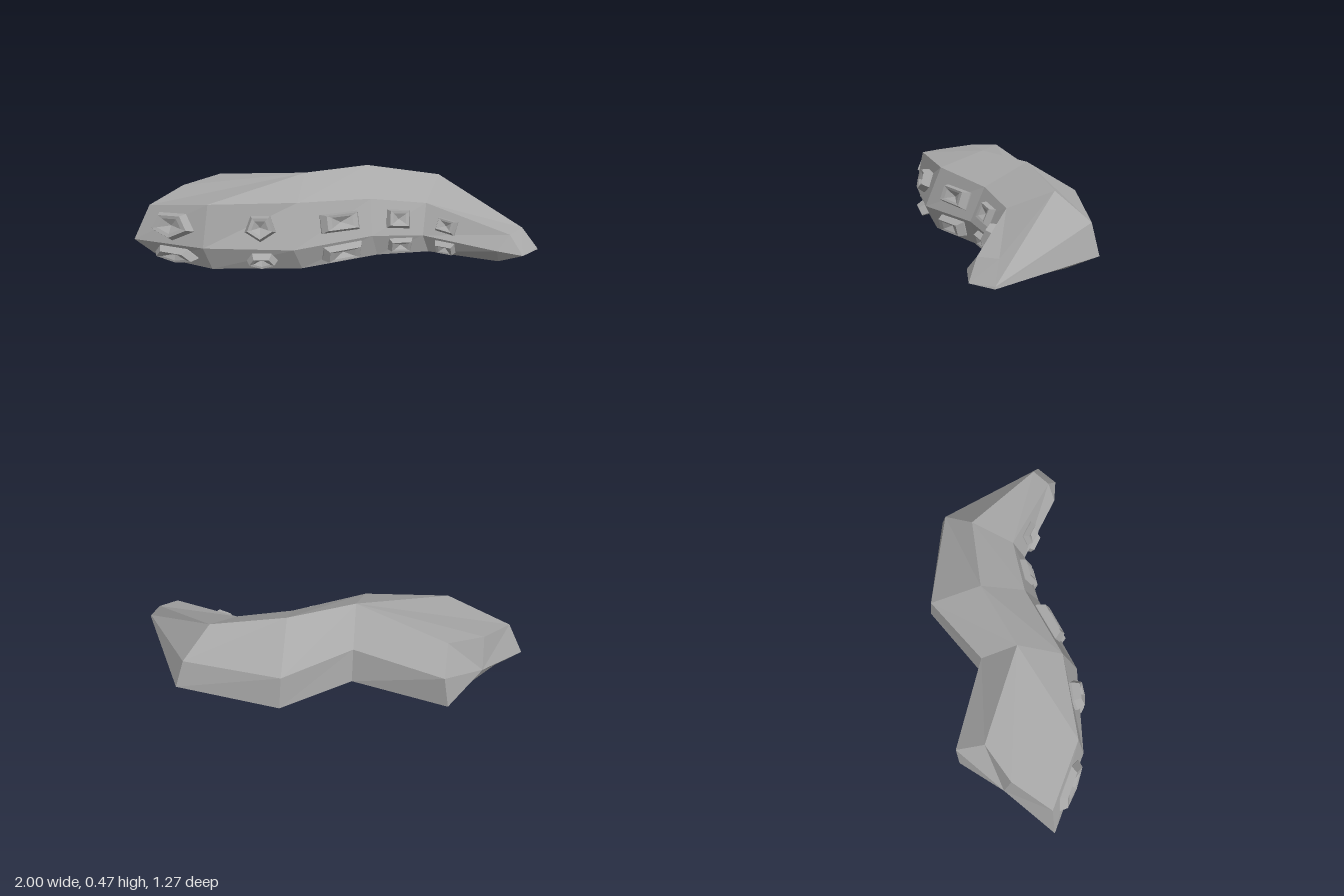
import * as THREE from 'three';

// Cross-sections along the limb. Each loop runs: front middle, front top,
// upper slope, ridge, back top, back middle, back bottom, front bottom.
const SECTIONS = [
  [[-1, .14, .6], [-.92, .33, .55], [-.87, .38, .31], [-.75, .41, .12],
    [-.81, .3, -.02], [-.84, .11, 0], [-.76, .015, .1], [-.88, .03, .54]],
  [[-.56, .155, .6], [-.55, .38, .55], [-.22, .47, .09], [-.22, .47, .09],
    [-.31, .31, -.08], [-.32, .11, -.1], [-.25, 0, .03], [-.55, .02, .54]],
  [[-.13, .145, .41], [-.15, .375, .32], [-.22, .47, .09], [-.22, .47, .09],
    [-.31, .31, -.08], [-.32, .11, -.1], [-.25, 0, .03], [-.12, .02, .34]],
  [[.17, .155, .07], [.13, .34, 0], [.02, .465, -.21], [.02, .465, -.21],
    [-.11, .29, -.46], [-.11, .1, -.48], [-.01, 0, -.34], [.18, .03, .02]],
  [[.4, .135, -.1], [.39, .3, -.17], [.38, .4, -.41], [.38, .4, -.41],
    [.42, .26, -.6], [.45, .1, -.645], [.4, .01, -.48], [.42, .03, -.14]],
  [[.82, .12, -.07], [.87, .2, -.13], [.91, .21, -.24], [.91, .21, -.24],
    [.995, .11, -.24], [1, .1, -.24], [.82, .045, -.2], [.82, .045, -.12]],
].map((s) => s.map((p) => new THREE.Vector3(...p)));

function limbGeometry() {
  const pos = [];
  const tri = (a, b, c) => {
    if (new THREE.Triangle(a, b, c).getArea() < 1e-6) return;
    for (const p of [a, b, c]) pos.push(p.x, p.y, p.z);
  };
  const n = 8;
  // skin between neighbouring sections
  for (let i = 0; i < SECTIONS.length - 1; i++) {
    const s = SECTIONS[i], t = SECTIONS[i + 1];
    for (let k = 0; k < n; k++) {
      const j = (k + 1) % n;
      tri(s[k], t[k], t[j]);
      tri(s[k], t[j], s[j]);
    }
  }
  // blunt end and pointed tip
  const end = new THREE.Vector3(-.9, .19, .28);
  const tip = new THREE.Vector3(.95, .1, -.11);
  const first = SECTIONS[0], last = SECTIONS[SECTIONS.length - 1];
  for (let k = 0; k < n; k++) {
    const j = (k + 1) % n;
    tri(end, first[k], first[j]);
    tri(tip, last[j], last[k]);
  }
  const g = new THREE.BufferGeometry();
  g.setAttribute('position', new THREE.Float32BufferAttribute(pos, 3));
  g.computeVertexNormals();
  return g;
}

// Faceted cup with a sunken middle; local z points out of the skin.
function suckerGeometry(sides, width, height, depth) {
  const profile = [[1, -.5], [1, .1], [.8, 1], [.55, .9], [0, .3]]
    .map(([r, y]) => new THREE.Vector2(r, y));
  let g = new THREE.LatheGeometry(profile, sides);
  if (sides === 4) g.rotateY(Math.PI / 4);
  g.rotateX(Math.PI / 2);
  const r = sides === 4 ? Math.SQRT1_2 : 1;
  g.scale(width / 2 / r, height / 2 / r, depth);
  g = g.toNonIndexed();
  g.computeVertexNormals();
  return g;
}

// Frame on the skin panel between section i and i + 1, loop rows lo and hi.
function panelFrame(i, lo, hi, u, v) {
  const a = SECTIONS[i], b = SECTIONS[i + 1];
  const low = a[lo].clone().lerp(b[lo], u);
  const high = a[hi].clone().lerp(b[hi], u);
  const along = b[lo].clone().lerp(b[hi], v).sub(a[lo].clone().lerp(a[hi], v)).normalize();
  const out = along.clone().cross(high.clone().sub(low)).normalize();
  const up = out.clone().cross(along);
  return new THREE.Matrix4().makeBasis(along, up, out).setPosition(low.lerp(high, v));
}

export function createModel() {
  const model = new THREE.Group();
  model.name = 'severedTentacle';
  const skin = new THREE.MeshStandardMaterial({ color: 0xa8a8a8 });
  skin.name = 'grey skin';
  skin.flatShading = true;

  const limb = new THREE.Mesh(limbGeometry(), skin);
  limb.name = 'limb';
  model.add(limb);

  // two rows of suckers: sides, position along panel, width, upper and lower height
  const suckers = [
    [5, .5, .29, .16, .1], [5, .61, .17, .15, .09], [4, .57, .22, .1, .08],
    [4, .5, .13, .1, .07], [4, .29, .11, .075, .065],
  ];
  suckers.forEach(([sides, u, width, upper, lower], i) => {
    const rows = [['upperSucker', 0, 1, .48, upper], ['lowerSucker', 7, 0, .56, lower]];
    for (const [name, lo, hi, v, height] of rows) {
      const depth = i === 0 ? .038 : i < 3 ? .045 : .035;
      const mesh = new THREE.Mesh(suckerGeometry(sides, width, height, depth), skin);
      mesh.name = name + (i + 1);
      mesh.applyMatrix4(panelFrame(i, lo, hi, u, v));
      model.add(mesh);
    }
  });
  return model;
}
